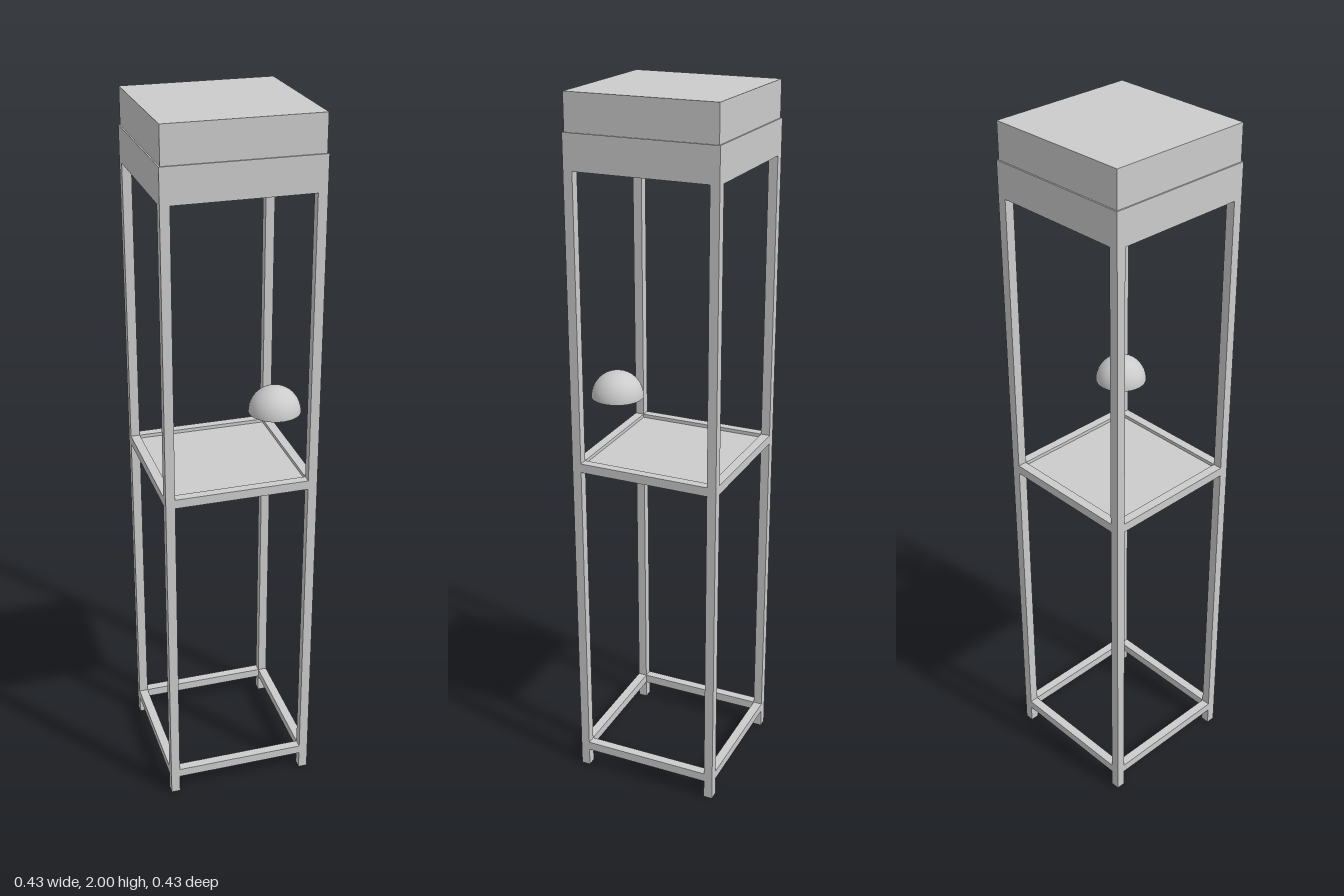
import * as THREE from 'three';

const material = new THREE.MeshStandardMaterial({ color: 0xcccccc });
const HALF = 0.214;  // outer half width of the frame
const BAR = 0.026;   // thickness of posts and rails
const MID = HALF - BAR / 2;

export function createModel() {
  const model = new THREE.Group();
  model.name = 'displayStand';

  const add = (name, geometry, x, y, z, parent = model) => {
    const mesh = new THREE.Mesh(geometry, material);
    mesh.name = name;
    mesh.position.set(x, y, z);
    parent.add(mesh);
    return mesh;
  };
  // Box between two heights
  const box = (name, w, d, y0, y1, x = 0, z = 0, parent = model) =>
    add(name, new THREE.BoxGeometry(w, y1 - y0, d), x, (y0 + y1) / 2, z, parent);

  // Four corner posts
  for (const sx of [-1, 1])
    for (const sz of [-1, 1])
      box('cornerPost', BAR, BAR, 0, 1.9, sx * MID, sz * MID);

  // Square rings of rails between the posts
  const span = 2 * (HALF - BAR);
  const railRing = (name, y0, y1) => {
    const ring = new THREE.Group();
    ring.name = name;
    for (const s of [-1, 1]) {
      box('rail', span, BAR, y0, y1, 0, s * MID, ring);
      box('sideRail', BAR, span, y0, y1, s * MID, 0, ring);
    }
    model.add(ring);
  };
  railRing('baseRails', 0.054, 0.08);
  railRing('shelfRails', 0.974, 1.0);

  // Shelf panel recessed inside its rails
  box('shelfPanel', span, span, 0.982, 0.99);

  // Head: lower band flush with the posts, slightly narrower cap above
  box('headBand', 2 * HALF, 2 * HALF, 1.804, 1.9);
  box('headCap', 0.42, 0.42, 1.9, 2.0);

  // Half dome floating above the shelf, closed underneath
  const R = 0.072;
  const dome = new THREE.Group();
  dome.name = 'dome';
  dome.position.set(0.119, 1.178, 0.119);
  add('domeShell', new THREE.SphereGeometry(R, 32, 12, 0, Math.PI * 2, 0, Math.PI / 2), 0, 0, 0, dome);
  add('domeBase', new THREE.CircleGeometry(R, 32).rotateX(Math.PI / 2), 0, 0, 0, dome);
  model.add(dome);

  return model;
}
